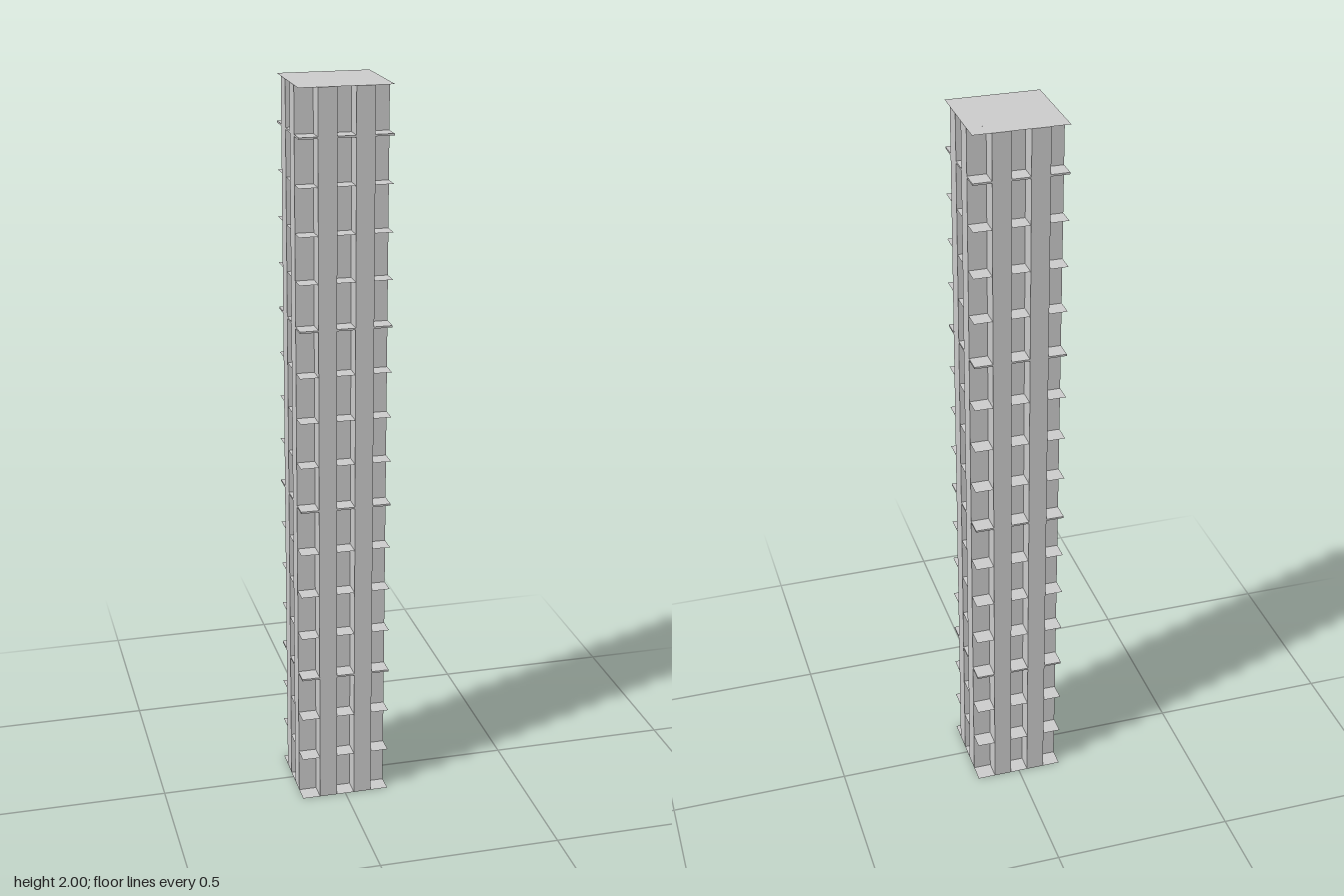
import * as THREE from 'three';

export function createModel() {
  const tower = new THREE.Group();
  tower.name = 'latticeTower';
  const mat = new THREE.MeshStandardMaterial({ color: 0xcccccc, side: THREE.DoubleSide, flatShading: true });

  const N = 5, width = 0.247, cell = width / N, height = 2, storeys = 16;
  const step = height / storeys;
  const at = (i) => (i - (N - 1) / 2) * cell;

  const add = (parent, name, geo, x, y, z) => {
    const mesh = new THREE.Mesh(geo, mat);
    mesh.name = name;
    mesh.position.set(x, y, z);
    parent.add(mesh);
    return mesh;
  };

  // Open square tube: four walls without caps
  const tube = new THREE.CylinderGeometry(cell / Math.SQRT2, cell / Math.SQRT2, height, 4, 1, true);
  tube.rotateY(Math.PI / 4);
  const tile = new THREE.PlaneGeometry(cell, cell).rotateX(-Math.PI / 2);

  // Columns stand on the odd cells of a checkerboard, floor tiles fill the even ones
  const columns = new THREE.Group();
  columns.name = 'columns';
  const floors = new THREE.Group();
  floors.name = 'floorTiles';
  for (let i = 0; i < N; i++) {
    for (let j = 0; j < N; j++) {
      if ((i + j) % 2) {
        add(columns, 'column', tube, at(i), height / 2, at(j));
      } else {
        for (let k = 0; k < storeys; k++) add(floors, 'floorTile', tile, at(i), k * step, at(j));
      }
    }
  }
  tower.add(columns, floors);

  // Thin slabs where the column sections join
  const slab = new THREE.BoxGeometry(width, 0.005, width);
  for (let k = 3; k < storeys; k += 4) add(tower, 'sectionJoint', slab, 0, k * step, 0);

  // Roof covers the whole plan
  add(tower, 'roof', new THREE.PlaneGeometry(width, width).rotateX(-Math.PI / 2), 0, height, 0);

  return tower;
}
